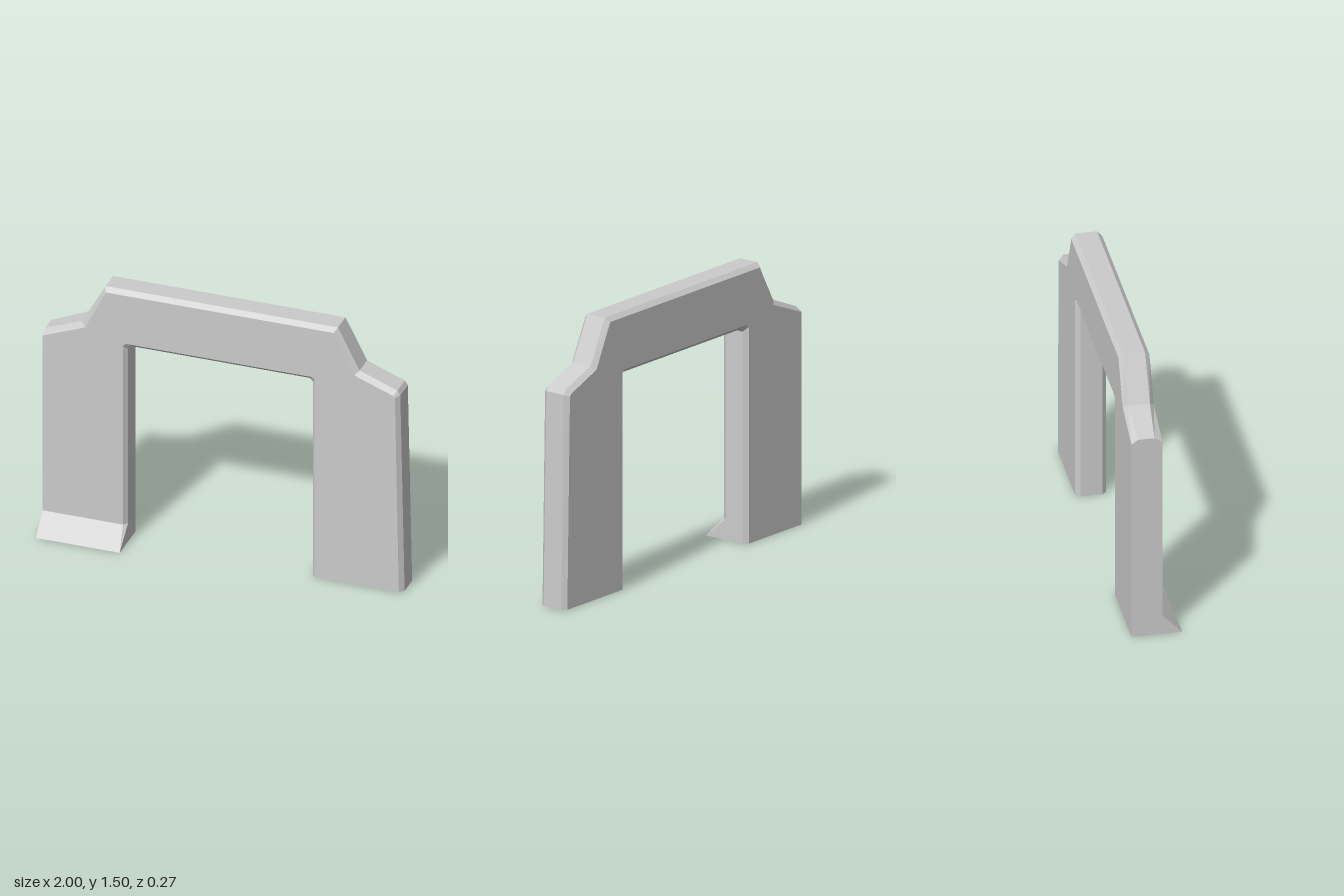
import * as THREE from 'three';

// Paired outlines, counter-clockwise from the front: [rim x, rim y, face x, face y].
// The rim is the full silhouette, the face is the outline inset by the bevel.
const OUTLINE = [
  [-1, 0, -1, 0], [-0.535, 0, -0.555, 0],                                  // right leg base
  [-0.535, 0.11, -0.555, 0.11],                                            // top of foot flare
  [-0.535, 1.155, -0.555, 1.18], [-0.51, 1.173, -0.54, 1.195],             // opening corner
  [0.475, 1.173, 0.495, 1.195], [0.49, 1.155, 0.51, 1.18],
  [0.49, 0, 0.51, 0], [1, 0, 0.977, 0],                                    // left leg base
  [0.976, 1.165, 0.955, 1.155], [0.96, 1.19, 0.945, 1.168],                // left shoulder
  [0.75, 1.27, 0.73, 1.25], [0.63, 1.505, 0.615, 1.482],
  [-0.66, 1.505, -0.65, 1.482], [-0.79, 1.27, -0.765, 1.25],               // right shoulder
  [-1, 1.182, -1, 1.157], [-1, 0.11, -1, 0.11],
];
const OPEN_EDGES = [0, 7];       // the leg undersides are open
const FOOT_Z = 0.135;

function surface(positions, material, name) {
  const geometry = new THREE.BufferGeometry();
  geometry.setAttribute('position', new THREE.Float32BufferAttribute(positions, 3));
  geometry.computeVertexNormals();
  const mesh = new THREE.Mesh(geometry, material);
  mesh.name = name;
  return mesh;
}

export function createModel() {
  const group = new THREE.Group();
  group.name = 'archway';
  const material = new THREE.MeshStandardMaterial({
    color: 0xcccccc, flatShading: true, side: THREE.DoubleSide,
  });

  // Four layers from back to front: face, rim, rim, face
  const face = (z) => OUTLINE.map((p) => [p[2], p[3], z]);
  const rim = (z) => OUTLINE.map((p) => [p[0], p[1], z]);
  const layers = [face(-0.135), rim(-0.11), rim(0.005), face(0.03)];
  // The bevel narrows at the plain outer end, and the foot flares forward
  layers[1][15][2] = -0.1;
  layers[2][15][2] = -0.012;
  layers[3][0] = [-1, 0, FOOT_Z];
  layers[3][1] = [-0.535, 0, FOOT_Z];

  // Sides and bevels
  const n = OUTLINE.length;
  const sides = [];
  for (let k = 0; k < 3; k++) {
    for (let i = 0; i < n; i++) {
      if (OPEN_EDGES.includes(i)) continue;
      const j = (i + 1) % n;
      const a = layers[k][i], b = layers[k][j], c = layers[k + 1][j], d = layers[k + 1][i];
      // The diagonal keeps the foot cheek flat
      sides.push(...a, ...b, ...d, ...b, ...c, ...d);
    }
  }
  group.add(surface(sides.flat(), material, 'sidesAndBevels'));

  // Front and back faces, above the foot on the front
  const addFace = (layer, skip, reverse, name) => {
    const pts = layer.filter((_, i) => !skip.includes(i));
    const tris = THREE.ShapeUtils.triangulateShape(pts.map((p) => new THREE.Vector2(p[0], p[1])), []);
    const out = [];
    for (const t of tris) {
      const order = reverse ? [t[2], t[1], t[0]] : t;
      for (const i of order) out.push(...pts[i]);
    }
    group.add(surface(out, material, name));
  };
  addFace(layers[3], [0, 1], false, 'frontFace');
  addFace(layers[0], [], true, 'backFace');

  // Sloping foot on the right leg
  const [a, b, c] = layers[3];
  const d = layers[3][n - 1];
  group.add(surface([...a, ...b, ...c, ...a, ...c, ...d], material, 'footSlope'));
  return group;
}
